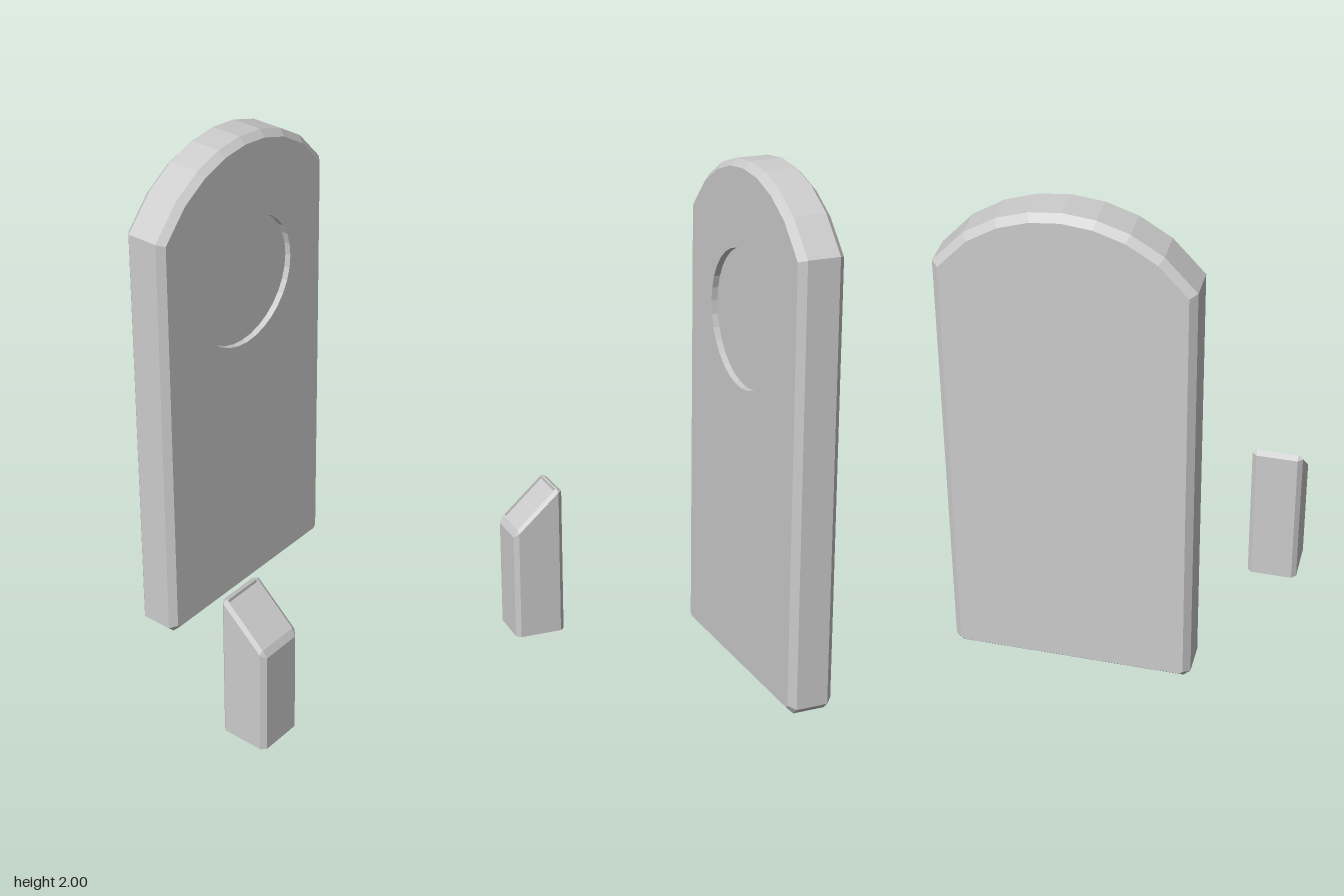
import * as THREE from 'three';

const material = new THREE.MeshStandardMaterial({ color: 0xcccccc, flatShading: true });

// Skin a series of rings (arrays of Vector3, counter-clockwise seen along the loft), with optional caps
function loft(rings, capStart, capEnd) {
  const pos = [];
  const tri = (...v) => v.forEach((p) => pos.push(p.x, p.y, p.z));
  const n = rings[0].length;
  for (let r = 0; r < rings.length - 1; r++) {
    for (let i = 0; i < n; i++) {
      const j = (i + 1) % n;
      const a = rings[r][i], b = rings[r][j], c = rings[r + 1][j], d = rings[r + 1][i];
      tri(a, b, c);
      tri(a, c, d);
    }
  }
  const first = rings[0], last = rings[rings.length - 1];
  for (let i = 1; i < n - 1; i++) {
    if (capStart) tri(first[0], first[i + 1], first[i]);
    if (capEnd) tri(last[0], last[i], last[i + 1]);
  }
  const geo = new THREE.BufferGeometry();
  geo.setAttribute('position', new THREE.Float32BufferAttribute(pos, 3));
  geo.computeVertexNormals();
  return geo;
}

function part(name, geo) {
  const mesh = new THREE.Mesh(geo, material);
  mesh.name = name;
  return mesh;
}

// Move every edge of a convex counter-clockwise outline inward by d
function inset(points, d) {
  const n = points.length;
  return points.map((p, i) => {
    const e1 = p.clone().sub(points[(i + n - 1) % n]).normalize();
    const e2 = points[(i + 1) % n].clone().sub(p).normalize();
    const n1 = new THREE.Vector2(-e1.y, e1.x), n2 = new THREE.Vector2(-e2.y, e2.x);
    return p.clone().addScaledVector(n1.clone().add(n2), d / (1 + n1.dot(n2)));
  });
}

// Standing slab with an arched top, chamfered edges and a shallow round recess
function createSlab() {
  const slab = new THREE.Group();
  slab.name = 'archedSlab';
  const half = 0.468, shoulder = 1.75, radius = 0.563, cut = 0.027, bevel = 0.026;
  const back = -0.443, front = -0.264;

  const outline = [[-half, cut], [-half + cut, 0], [half - cut, 0], [half, cut]]
    .map(([x, y]) => new THREE.Vector2(x, y));
  for (let i = 0; i <= 8; i++) {
    const x = half * (1 - i / 4);
    const y = i % 8 === 0 ? shoulder : 2 - radius + Math.sqrt(radius * radius - x * x);
    outline.push(new THREE.Vector2(x, y));
  }
  const small = inset(outline, bevel);
  const at = (pts, z) => pts.map((p) => new THREE.Vector3(p.x, p.y, z));
  slab.add(part('slabBody', loft([
    at(small, back), at(outline, back + bevel), at(outline, front - bevel), at(small, front),
  ], true, false)));

  // Front face with a round opening, and the recess behind it
  const circle = [];
  for (let i = 0; i < 32; i++) {
    const a = (i / 32) * Math.PI * 2;
    circle.push(new THREE.Vector2(0.265 * Math.cos(a), 1.41 + 0.265 * Math.sin(a)));
  }
  const face = new THREE.Shape(small);
  face.holes.push(new THREE.Path(circle));
  slab.add(part('slabFace', new THREE.ShapeGeometry(face).translate(0, 0, front)));
  slab.add(part('roundRecess', loft([at(circle, front), at(circle, front - 0.025)], false, true)));
  slab.position.x = 0.147;
  return slab;
}

// Short post with chamfered corners and a sloping top holding a sunken panel
function createPost() {
  const slope = (z) => 0.46 + (0.425 - z) * 0.91;
  // Rectangle with cut corners; the height of each corner follows a rule
  const ring = (hx, z0, z1, c, height) => [
    [hx, z1 - c], [hx, z0 + c], [hx - c, z0], [-hx + c, z0],
    [-hx, z0 + c], [-hx, z1 - c], [-hx + c, z1], [hx - c, z1],
  ].map(([x, z]) => new THREE.Vector3(x, height(z), z));

  const geo = loft([
    ring(0.1, 0.237, 0.441, 0.018, () => 0),
    ring(0.1, 0.237, 0.441, 0.018, (z) => Math.min(slope(z) - 0.015, 0.598)),
    ring(0.085, 0.258, 0.425, 0.002, slope),
    ring(0.081, 0.262, 0.421, 0.001, slope),
    ring(0.08, 0.263, 0.42, 0.001, (z) => slope(z) - 0.012),
  ], true, true);
  const post = part('slopedPost', geo);
  post.position.x = -0.518;
  return post;
}

export function createModel() {
  const model = new THREE.Group();
  model.name = 'slabAndPost';
  model.add(createSlab(), createPost());
  return model;
}
